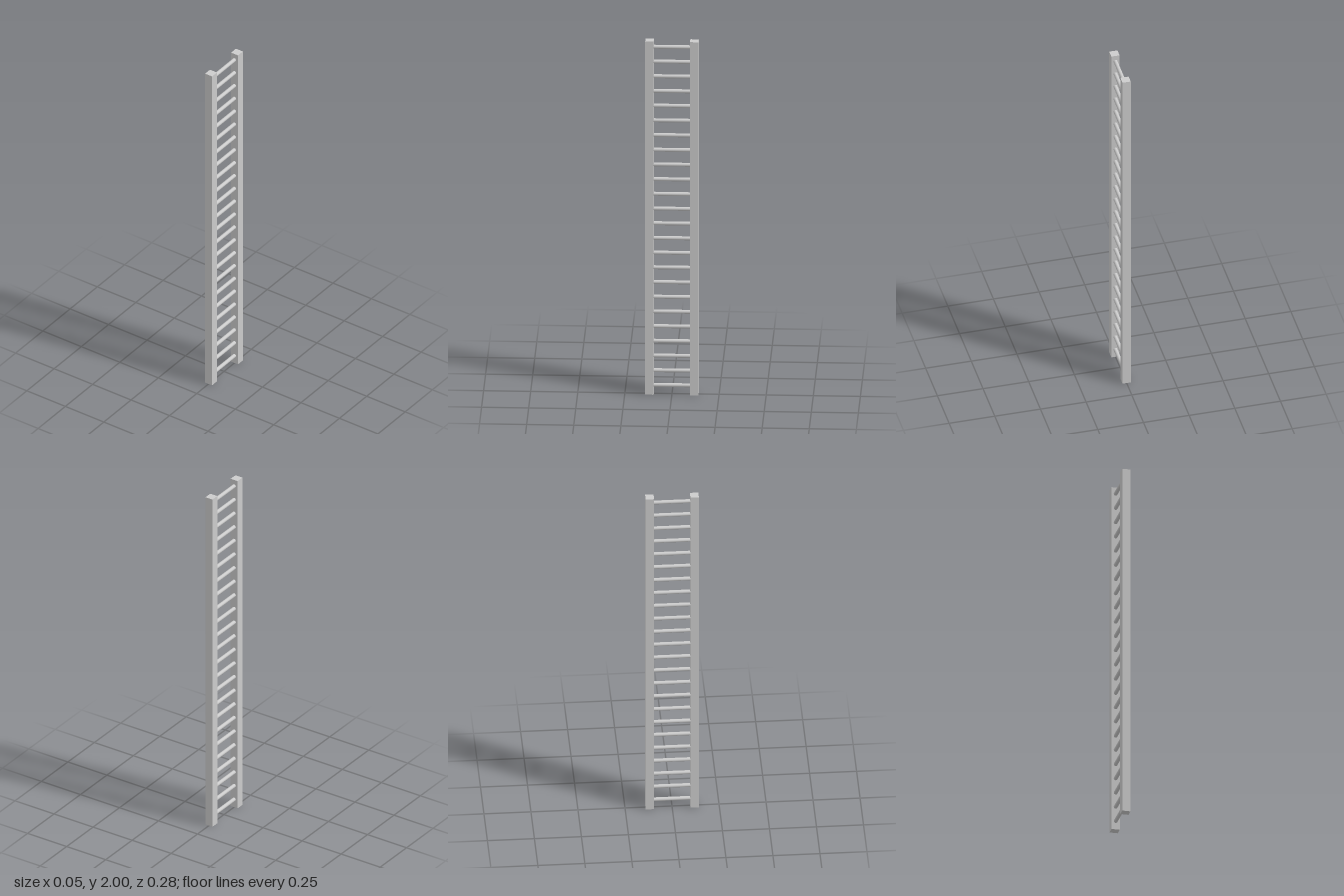
import * as THREE from 'three';

export function createModel() {
  const group = new THREE.Group();
  const material = new THREE.MeshStandardMaterial({ color: 0xcccccc });

  const railSize = 0.045, railZ = 0.119;
  const rungCount = 24, firstRung = 0.048, lastRung = 1.963;

  // Two square side rails, front and back
  const railGeometry = new THREE.BoxGeometry(railSize, 2, railSize);
  for (const side of [1, -1]) {
    const rail = new THREE.Mesh(railGeometry, material);
    rail.name = side > 0 ? 'frontRail' : 'backRail';
    rail.position.set(0, 1, side * railZ);
    group.add(rail);
  }

  // Evenly spaced round rungs, their ends set just inside the rails
  const rungLength = 2 * railZ - railSize + 0.004;
  const rungGeometry = new THREE.CylinderGeometry(0.0105, 0.0105, rungLength, 16).rotateX(Math.PI / 2);
  for (let i = 0; i < rungCount; i++) {
    const rung = new THREE.Mesh(rungGeometry, material);
    rung.name = `rung${i + 1}`;
    rung.position.y = THREE.MathUtils.lerp(firstRung, lastRung, i / (rungCount - 1));
    group.add(rung);
  }

  return group;
}
